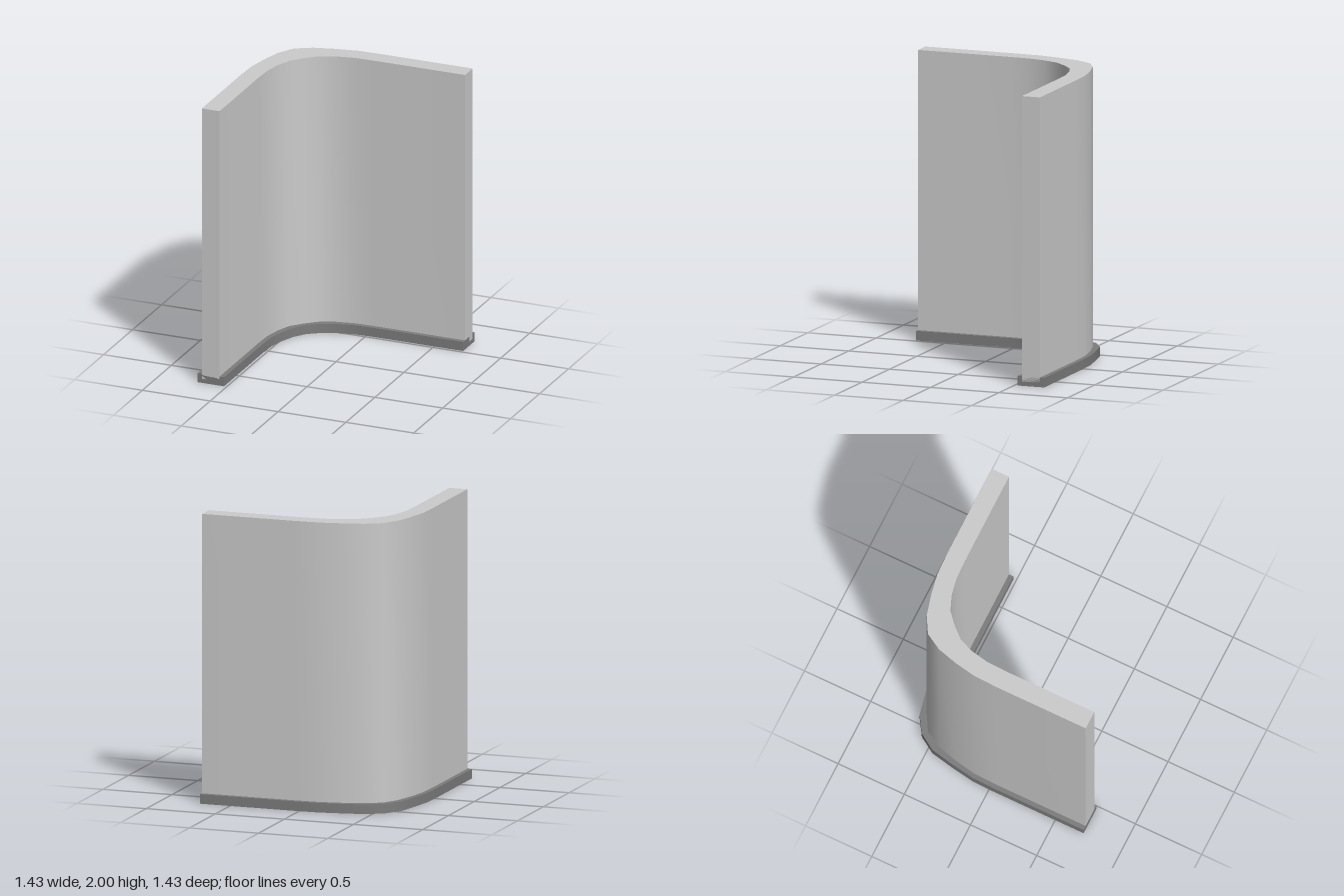
import * as THREE from 'three';
import { toCreasedNormals } from 'three/addons/utils/BufferGeometryUtils.js';

// Half outlines as [x, z], from the straight end to the corner diagonal
const wallOuter = [[0.715, -0.684], [0.04, -0.684], [-0.13, -0.678], [-0.285, -0.65], [-0.43, -0.611], [-0.545, -0.545]];
const wallInner = [[0.715, -0.553], [0.04, -0.553], [-0.1, -0.548], [-0.225, -0.524], [-0.328, -0.482], [-0.41, -0.41]];
const baseOuter = [[0.715, -0.716], [0.03, -0.716], [-0.13, -0.711], [-0.3, -0.683], [-0.46, -0.65], [-0.576, -0.576]];
const baseInner = [[0.715, -0.52], [0.04, -0.52], [-0.09, -0.513], [-0.2, -0.488], [-0.305, -0.446], [-0.387, -0.387]];

// Mirror a half outline across the x = z diagonal
function fullCurve(half) {
  const mirrored = half.slice(0, -1).reverse().map(([x, z]) => [z, x]);
  return [...half, ...mirrored];
}

// Extrude the band between two curves upwards from y0 to y1
function curvedBand(name, outer, inner, y0, y1, color) {
  const outline = [...fullCurve(outer), ...fullCurve(inner).reverse()];
  const shape = new THREE.Shape(outline.map(([x, z]) => new THREE.Vector2(x, -z)));
  const extruded = new THREE.ExtrudeGeometry(shape, { depth: y1 - y0, bevelEnabled: false });
  extruded.rotateX(-Math.PI / 2).translate(0, y0, 0);
  const mesh = new THREE.Mesh(toCreasedNormals(extruded, 0.7), new THREE.MeshStandardMaterial({ color }));
  mesh.name = name;
  return mesh;
}

export function createModel() {
  const group = new THREE.Group();
  group.name = 'curvedCornerWall';
  // Tall wall, sunk slightly into the darker skirting
  group.add(curvedBand('wall', wallOuter, wallInner, 0.03, 2, 0xcccccc));
  group.add(curvedBand('skirting', baseOuter, baseInner, 0, 0.066, 0x7d7d7d));
  return group;
}
